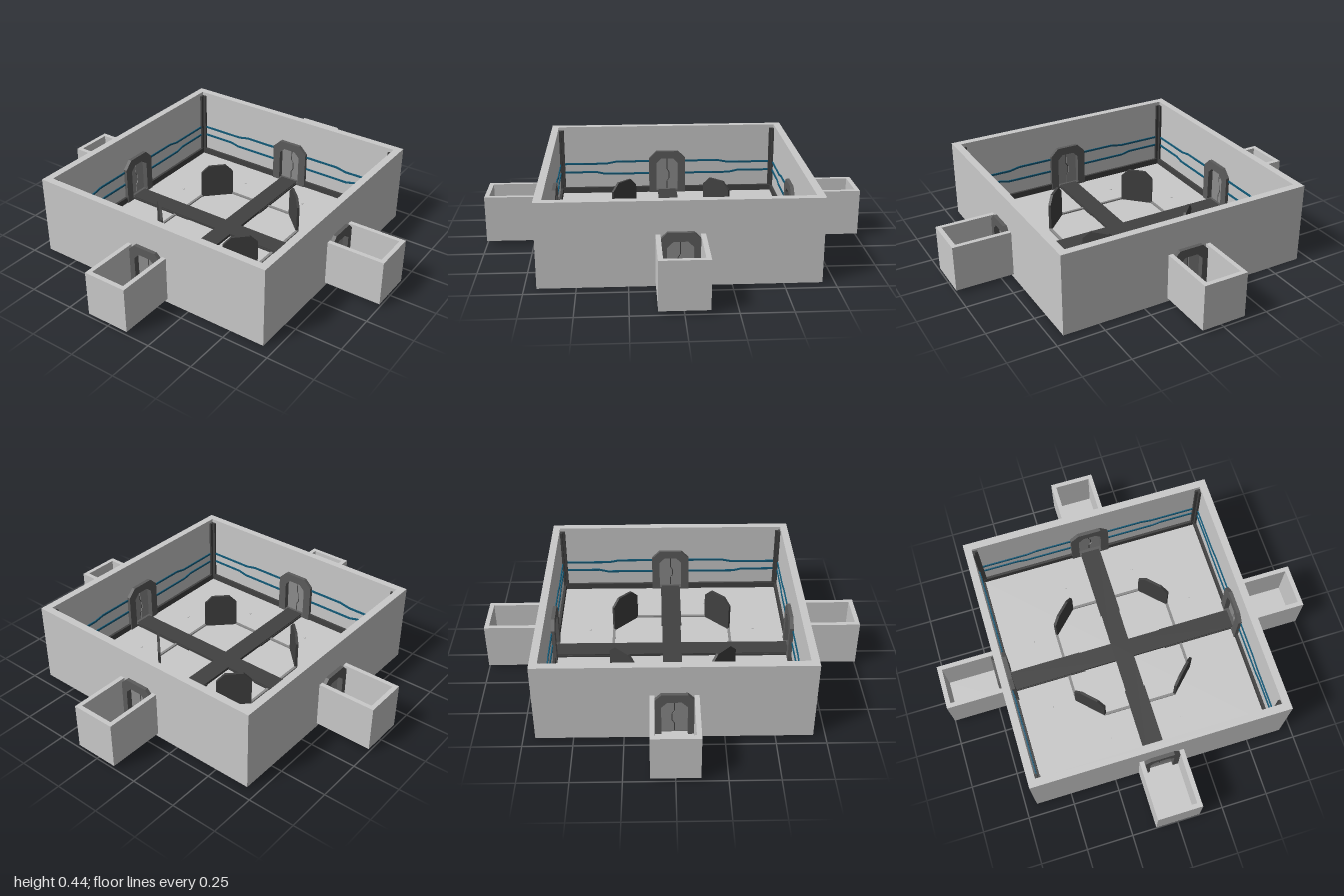
import * as THREE from 'three';

const mat = (name, color, extra = {}) =>
  Object.assign(new THREE.MeshStandardMaterial({ color, ...extra }), { name });

export function createModel() {
  const shell = mat('pale grey shell', 0xcacaca);
  const dark = mat('charcoal', 0x414141);
  const frameGrey = mat('frame grey', 0x5c5c5c);
  const trimGrey = mat('trim grey', 0x8c8c8c);
  const blue = mat('deep blue light strip', 0x125a78);

  const room = new THREE.Group();
  room.name = 'room';
  const FLOOR = 0.02, INNER = 0.65, OUTER = 0.69, TOP = 0.435;

  const add = (parent, name, geometry, material, x = 0, y = 0, z = 0, ry = 0) => {
    const m = new THREE.Mesh(geometry, material);
    m.name = name;
    m.position.set(x, y, z);
    m.rotation.y = ry;
    parent.add(m);
    return m;
  };
  const box = (parent, name, material, w, h, d, x, y, z, ry = 0) =>
    add(parent, name, new THREE.BoxGeometry(w, h, d), material, x, y, z, ry);
  const poly = (pts) => new THREE.Shape(pts.map(([x, y]) => new THREE.Vector2(x, y)));
  const extrude = (shape, depth) =>
    new THREE.ExtrudeGeometry(shape, { depth, bevelEnabled: false });

  // Upright plate with its two top corners cut off
  const arch = (w, y0, y1, c) =>
    [[-w, y0], [w, y0], [w, y1 - c], [w - c, y1], [-w + c, y1], [-w, y1 - c]];

  // Light strip that follows a stepped line, as a flat ribbon
  const ribbon = (pts, t) => {
    const up = pts.map(([x, y]) => [x, y + t / 2]);
    const down = pts.map(([x, y]) => [x, y - t / 2]).reverse();
    return extrude(poly([...down.reverse(), ...up.reverse()]), 0.006);
  };

  // Floor slab
  box(room, 'floor', shell, OUTER * 2 - 0.002, FLOOR, OUTER * 2 - 0.002, 0, FLOOR / 2, 0);

  // One side of the room, facing +z, repeated four times
  for (let i = 0; i < 4; i++) {
    const side = new THREE.Group();
    side.name = 'side' + (i + 1);
    side.rotation.y = (i * Math.PI) / 2;
    room.add(side);

    // Wall with a doorway
    const wall = poly([[-OUTER, 0], [OUTER, 0], [OUTER, TOP], [-OUTER, TOP]]);
    wall.holes.push(new THREE.Path(
      arch(0.09, FLOOR, 0.25, 0.04).map(([x, y]) => new THREE.Vector2(x, y))));
    add(side, 'wall', extrude(wall, OUTER - INNER), shell, 0, 0, INNER);

    // Door frame through the wall and the split door inside it
    const frame = poly(arch(0.11, FLOOR, 0.28, 0.045));
    frame.holes.push(new THREE.Path(
      arch(0.065, FLOOR + 0.012, 0.235, 0.03).map(([x, y]) => new THREE.Vector2(x, y))));
    add(side, 'doorFrame', extrude(frame, 0.08), frameGrey, 0, 0, 0.63);
    const leaf = [[-0.07, FLOOR], [-0.003, FLOOR], [-0.003, 0.08], [-0.015, 0.1],
      [-0.015, 0.14], [-0.003, 0.16], [-0.003, 0.24], [-0.07, 0.24]];
    add(side, 'leftDoorLeaf', extrude(poly(leaf), 0.02), trimGrey, 0, 0, 0.66);
    const other = leaf.map(([x, y]) => [x < -0.05 ? 0.07 : x + 0.006, y]).reverse();
    add(side, 'rightDoorLeaf', extrude(poly(other), 0.02), trimGrey, 0, 0, 0.66);
    box(side, 'doorSeam', dark, 0.04, 0.21, 0.012, 0, 0.13, 0.67);

    // Open-topped alcove outside the door
    const t = 0.024, y = 0.143, h = 0.246, len = 1 - OUTER;
    for (const s of [-1, 1])
      box(side, 'alcoveSideWall', shell, t, h, len, s * (0.12 - t / 2), y, OUTER + len / 2);
    box(side, 'alcoveEndWall', shell, 0.24 - 2 * t, h, t, 0, y, 1 - t / 2);
    box(side, 'alcoveFloor', shell, 0.24 - 2 * t, 0.015, len - t, 0, 0.0275, OUTER + (len - t) / 2);

    for (const s of [-1, 1]) {
      // Skirting and light strips either side of the door
      box(side, 'skirting', dark, 0.53, 0.035, 0.014, s * 0.375, FLOOR + 0.0175, INNER - 0.007);
      const lines = [
        [[0.64, 0.203], [0.37, 0.203], [0.31, 0.215], [0.11, 0.215]],
        [[0.64, 0.15], [0.43, 0.15], [0.38, 0.138], [0.11, 0.138]],
      ];
      for (const line of lines) {
        const pts = line.map(([x, yy]) => [s * x, yy]).sort((a, b) => a[0] - b[0]);
        add(side, 'lightStrip', ribbon(pts, 0.011), blue, 0, 0, INNER - 0.006);
      }
      // Corner posts, half on each wall
      box(side, 'cornerPost', dark, 0.028, 0.395, 0.012, s * (INNER - 0.014), FLOOR + 0.1975, INNER - 0.006);
      // Low octagonal trim on the floor
      box(side, 'octagonTrim', trimGrey, 0.15, 0.008, 0.014, s * 0.125, FLOOR + 0.004, 0.328);
      // Small floor studs
      add(side, 'floorStud', new THREE.CylinderGeometry(0.007, 0.007, 0.004, 8), shell,
        s * 0.2, FLOOR + 0.002, 0.465);
    }

    // Dark walkway arm, slightly wider outside the octagon
    box(side, 'walkway', dark, 0.104, 0.015, 0.59, 0, FLOOR + 0.0075, 0.347);
    box(side, 'walkwayEdge', dark, 0.114, 0.01, 0.4, 0, FLOOR + 0.005, 0.435);

    // Upright screen across each diagonal of the octagon
    const screen = new THREE.Group();
    screen.name = 'diagonalScreen';
    screen.rotation.y = Math.PI / 4;
    side.add(screen);
    add(screen, 'screenPanel', extrude(poly(arch(0.092, FLOOR, 0.217, 0.043)), 0.014), dark, 0, 0, 0.367);
  }

  // Crossing of the walkways
  box(room, 'walkwayCrossing', dark, 0.104, 0.015, 0.104, 0, FLOOR + 0.0075, 0);
  return room;
}
